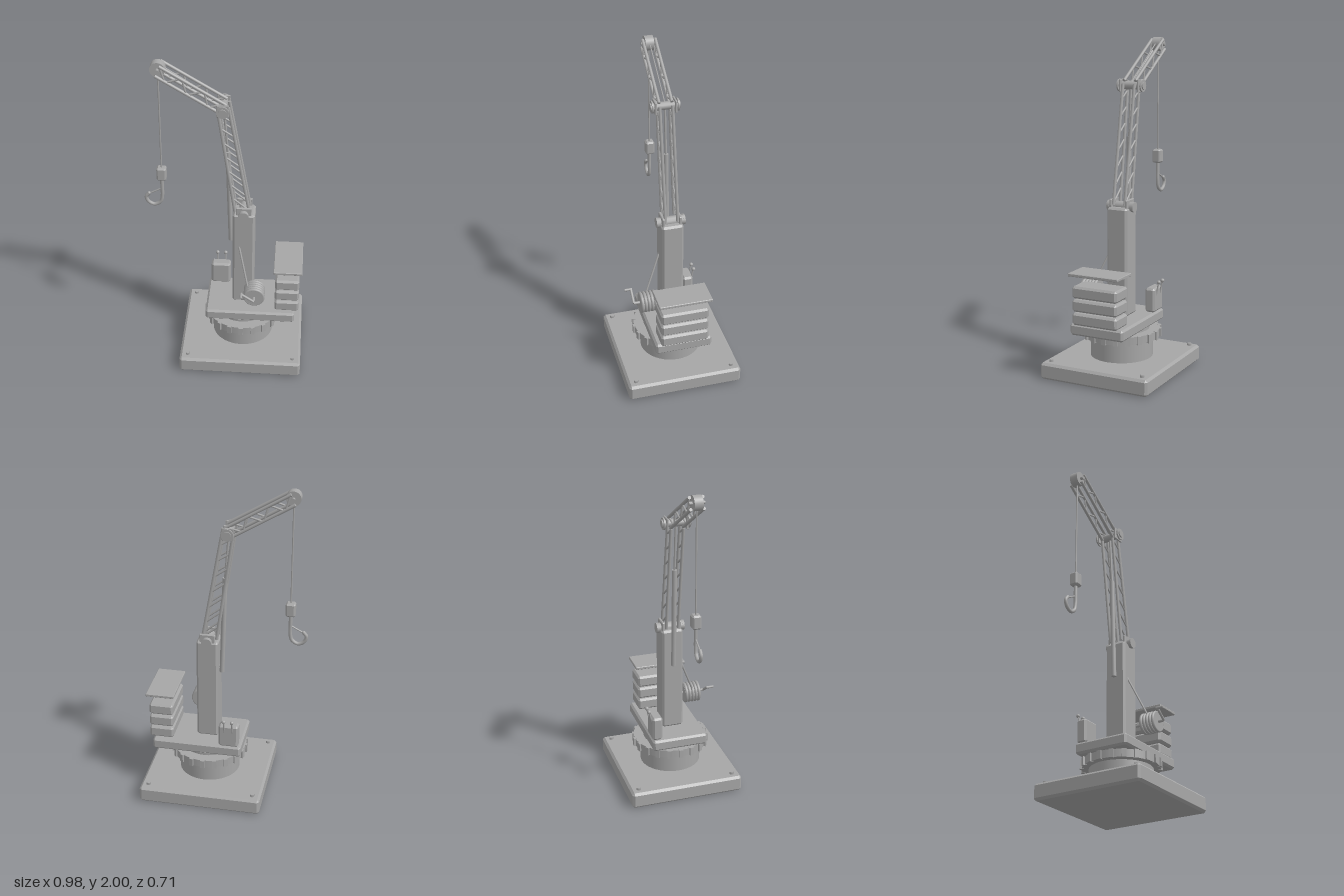
import * as THREE from 'three';
import { ConvexGeometry } from 'three/addons/geometries/ConvexGeometry.js';

const V = (x, y, z) => new THREE.Vector3(x, y, z);

export function createModel() {
  const crane = new THREE.Group();
  crane.name = 'crane';
  const grey = new THREE.MeshStandardMaterial({ color: 0xa6a6a6 });
  grey.name = 'grey metal';

  const add = (name, geo) => {
    const mesh = new THREE.Mesh(geo, grey);
    mesh.name = name;
    crane.add(mesh);
    return mesh;
  };

  // Box with chamfered edges, given by its limits on each axis
  const block = (name, [x0, x1], [y0, y1], [z0, z1], b = 0.012) => {
    const h = [(x1 - x0) / 2, (y1 - y0) / 2, (z1 - z0) / 2];
    const pts = [];
    for (const sx of [-1, 1]) for (const sy of [-1, 1]) for (const sz of [-1, 1])
      for (let k = 0; k < 3; k++) {
        const p = h.map((v, i) => (i === k ? v : v - b));
        pts.push(V(sx * p[0], sy * p[1], sz * p[2]));
      }
    const mesh = add(name, new ConvexGeometry(pts));
    mesh.position.set((x0 + x1) / 2, (y0 + y1) / 2, (z0 + z1) / 2);
    return mesh;
  };

  // Round bar between two points
  const bar = (name, a, b, r, sides = 8) => {
    const dir = b.clone().sub(a);
    const mesh = add(name, new THREE.CylinderGeometry(r, r, dir.length(), sides));
    mesh.position.copy(a).add(b).multiplyScalar(0.5);
    mesh.quaternion.setFromUnitVectors(V(0, 1, 0), dir.normalize());
    return mesh;
  };

  // Disc or shaft lying along z
  const axle = (name, x, y, z0, z1, r, sides = 24) => bar(name, V(x, y, z0), V(x, y, z1), r, sides);

  // Base plate with corner bolts
  const cx = 0.107;
  block('basePlate', [-0.272, 0.486], [0, 0.102], [-0.355, 0.355], 0.014);
  for (const x of [-0.222, 0.436]) for (const z of [-0.304, 0.304])
    bar('baseBolt', V(x, 0.1, z), V(x, 0.117, z), 0.014, 6);

  // Pedestal and toothed slewing ring
  bar('pedestal', V(cx, 0.1, 0), V(cx, 0.24, 0), 0.19, 40);
  bar('slewingRing', V(cx, 0.226, 0), V(cx, 0.274, 0), 0.232, 40);
  bar('turntableHub', V(cx, 0.27, 0), V(cx, 0.29, 0), 0.17, 40);
  for (let i = 0; i < 20; i++) {
    const a = (i / 20) * Math.PI * 2;
    const tooth = add('ringTooth', new THREE.BoxGeometry(0.026, 0.052, 0.024));
    tooth.position.set(cx + Math.sin(a) * 0.23, 0.249, Math.cos(a) * 0.23);
    tooth.rotation.y = a;
  }

  // Rotating deck and mast
  block('deck', [-0.12, 0.436], [0.286, 0.356], [-0.175, 0.175]);
  block('mast', [0.041, 0.175], [0.356, 1.018], [-0.067, 0.067]);

  // Stacked counterweights and the plate above them
  for (const y of [0.357, 0.438, 0.519])
    block('counterweight', [0.31, 0.46], [y, y + 0.073], [-0.147, 0.147]);
  block('canopyPlate', [0.299, 0.475], [0.653, 0.671], [-0.163, 0.163], 0.003);

  // Control box with two levers
  block('controlBox', [-0.105, 0.017], [0.356, 0.506], [-0.175, -0.11]);
  for (const x of [-0.07, -0.019]) {
    bar('lever', V(x, 0.43, -0.165), V(x, 0.54, -0.187), 0.005);
    add('leverKnob', new THREE.SphereGeometry(0.012, 12, 8)).position.set(x, 0.543, -0.188);
  }

  // Winch drum with rope turns and crank
  const wx = 0.184, wy = 0.508;
  axle('winchDrum', wx, wy, 0.112, 0.214, 0.056, 28);
  for (let i = 0; i < 5; i++)
    add('ropeTurn', new THREE.TorusGeometry(0.056, 0.01, 8, 28)).position.set(wx, wy, 0.123 + i * 0.0205);
  axle('winchAxle', wx, wy, 0.06, 0.25, 0.009, 10);
  bar('crankArm', V(wx, wy, 0.25), V(0.108, 0.56, 0.25), 0.008);
  axle('crankHandle', 0.108, 0.56, 0.243, 0.29, 0.008, 10);
  bar('winchRope', V(0.145, 0.54, 0.165), V(0.08, 0.79, 0.06), 0.006);

  // Mast head pivot and elbow pivot
  axle('mastPivot', 0.107, 1.02, -0.088, 0.088, 0.03, 12);
  for (const s of [-1, 1]) {
    const z = [s * 0.052 - 0.008, s * 0.052 + 0.008];
    block('mastBracket', [0.06, 0.155], [0.985, 1.065], z, 0.004);
    axle('mastPivotCap', 0.107, 1.02, s * 0.074, s * 0.088, 0.032, 12);
  }
  axle('elbowPivot', -0.018, 1.728, -0.088, 0.088, 0.024, 12);
  for (const s of [-1, 1]) {
    block('elbowBracket', [-0.055, 0.018], [1.69, 1.765], [s * 0.06 - 0.005, s * 0.06 + 0.005], 0.002);
    axle('elbowFlange', -0.018, 1.728, s * 0.072, s * 0.081, 0.037);
  }

  // Lattice side frames: two chords joined by diagonals, mirrored in z
  const lattice = (name, a0, a1, b0, b1, panels, zigzag) => {
    for (const z of [-0.038, 0.038]) {
      const at = (p, q, t) => V(p[0] + (q[0] - p[0]) * t, p[1] + (q[1] - p[1]) * t, z);
      bar(name + 'Chord', at(a0, a1, 0), at(a0, a1, 1), 0.01);
      bar(name + 'Chord', at(b0, b1, 0), at(b0, b1, 1), 0.01);
      for (let i = 0; i < panels; i++) {
        const t0 = (i + 0.1) / panels, t1 = (i + 0.95) / panels;
        const flip = zigzag && i % 2;
        bar(name + 'Brace', flip ? at(a0, a1, t0) : at(b0, b1, t0),
          flip ? at(b0, b1, t1) : at(a0, a1, t1), 0.006, 6);
      }
    }
  };
  lattice('lowerBoom', [0.053, 1.03], [-0.045, 1.7], [0.14, 1.03], [0.014, 1.74], 7, false);
  lattice('upperBoom', [-0.04, 1.705], [-0.4, 1.925], [0, 1.757], [-0.375, 1.985], 6, true);

  // Hydraulic ram in front of the mast
  bar('ramCylinder', V(0.028, 0.79, 0), V(0.008, 1.425, 0), 0.015, 14);
  bar('ramRod', V(0.008, 1.42, 0), V(-0.015, 1.71, 0), 0.007, 10);
  bar('ramFoot', V(0.025, 0.83, 0), V(0.06, 0.83, 0), 0.01);

  // Tip pulley, hoist rope and hook block
  const tx = -0.387;
  axle('tipPulley', tx, 1.956, -0.026, 0.026, 0.044, 28);
  axle('tipPin', tx, 1.956, -0.046, 0.046, 0.01, 12);
  bar('boomRope', V(-0.37, 1.975, 0), V(-0.018, 1.745, 0), 0.004, 6);
  bar('hoistRope', V(tx, 1.95, 0), V(tx, 1.29, 0), 0.005, 8);
  block('hookBlock', [tx - 0.029, tx + 0.029], [1.215, 1.3], [-0.027, 0.027], 0.009);

  // Hook with safety latch
  const hookPath = new THREE.CatmullRomCurve3([
    V(tx, 1.22, 0), V(tx, 1.16, 0), V(tx, 1.1, 0), V(-0.398, 1.055, 0),
    V(-0.435, 1.032, 0), V(-0.472, 1.05, 0), V(-0.485, 1.085, 0), V(-0.468, 1.11, 0)]);
  add('hook', new THREE.TubeGeometry(hookPath, 40, 0.011, 10, false));
  add('hookTip', new THREE.SphereGeometry(0.011, 10, 8)).position.set(-0.468, 1.11, 0);
  bar('hookLatch', V(-0.472, 1.105, 0), V(tx, 1.15, 0), 0.005);

  return crane;
}
